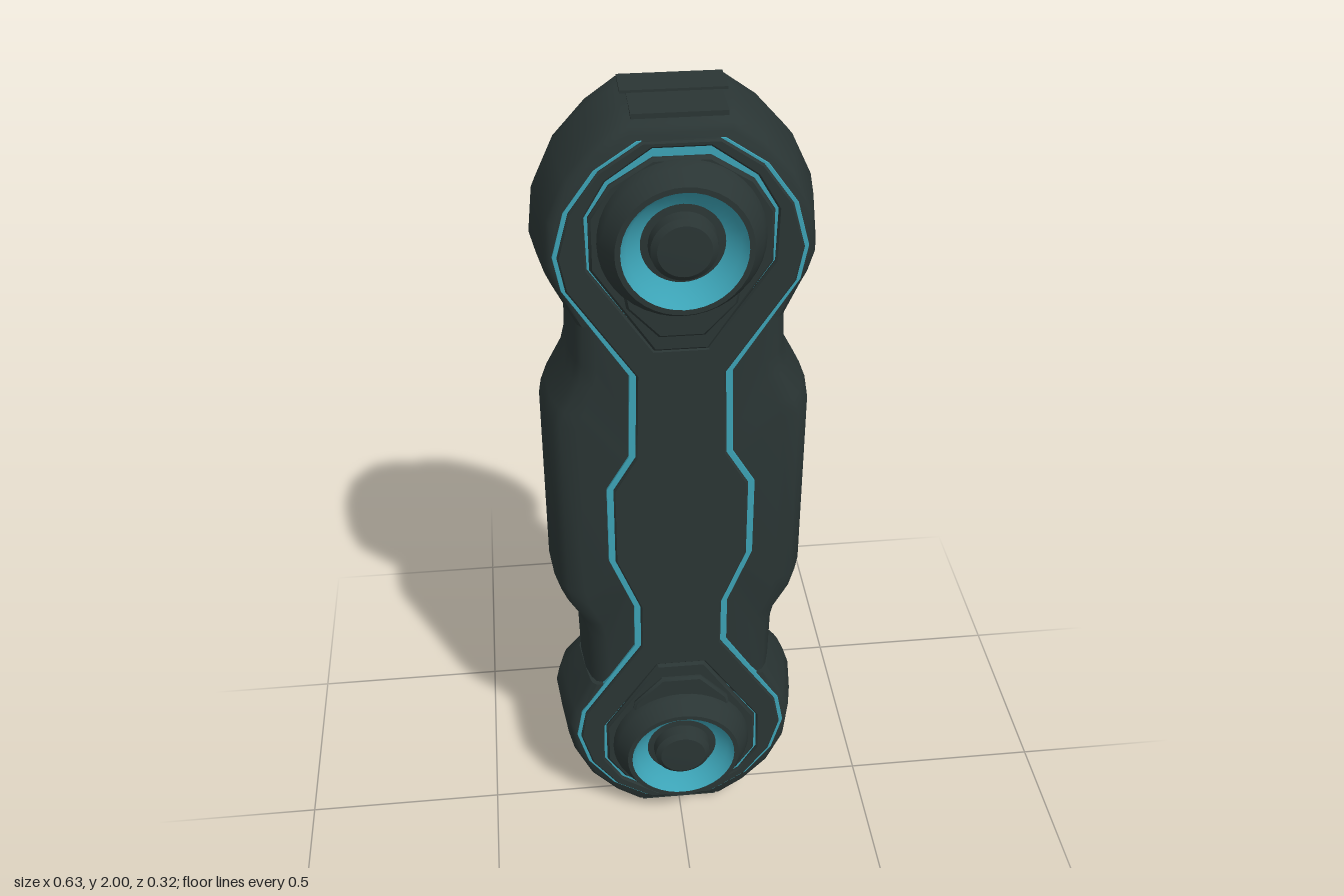
import * as THREE from 'three';
import { toCreasedNormals } from 'three/addons/utils/BufferGeometryUtils.js';

const shell = new THREE.MeshStandardMaterial({ color: 0x2a3534 });
shell.name = 'dark shell';
const glow = new THREE.MeshStandardMaterial({ color: 0x3ca3b6 });
glow.name = 'teal inlay';

const DIAL_Y = 1.735;

function add(parent, name, geometry, material, crease = 0.6) {
  const mesh = new THREE.Mesh(toCreasedNormals(geometry, crease), material);
  mesh.name = name;
  parent.add(mesh);
  return mesh;
}

// Right half of an outline, top to bottom, becomes a full counter-clockwise outline
function mirrored(half) {
  const left = half.map(([x, y]) => [-x, y]);
  return [...left, ...half.slice().reverse()];
}

const toShape = (pts) => new THREE.Shape(pts.map(([x, y]) => new THREE.Vector2(x, y)));

// Flat plate between two depths with a small bevel inside its outline
function plate(shape, z0, z1, bevel) {
  const geo = new THREE.ExtrudeGeometry(shape, {
    depth: z1 - z0 - 2 * bevel, bevelEnabled: true, bevelSegments: 1,
    bevelThickness: bevel, bevelSize: bevel, bevelOffset: -bevel,
  });
  return geo.translate(0, 0, z0 + bevel);
}

// Solid stacked from one outline at several depths; place(x, y, level) moves each point
function loft(outline, levels, cy, place) {
  const n = outline.length, pos = [], idx = [];
  levels.forEach((lv) => outline.forEach(([x, y]) => pos.push(...place(x, y, lv), lv[0])));
  for (let l = 0; l < levels.length - 1; l++) {
    for (let i = 0; i < n; i++) {
      const a = l * n + i, b = l * n + (i + 1) % n;
      idx.push(a, b, b + n, a, b + n, a + n);
    }
  }
  const last = (levels.length - 1) * n, back = levels.length * n;
  pos.push(0, cy, levels[0][0], 0, cy, levels[levels.length - 1][0]);
  for (let i = 0; i < n; i++) {
    const j = (i + 1) % n;
    idx.push(back, j, i, back + 1, last + i, last + j);
  }
  const geo = new THREE.BufferGeometry();
  geo.setAttribute('position', new THREE.Float32BufferAttribute(pos, 3));
  geo.setIndex(idx);
  return geo;
}

const lathe = (pts) => new THREE.LatheGeometry(
  pts.map(([r, z]) => new THREE.Vector2(r, z)), 40).rotateX(Math.PI / 2).translate(0, DIAL_Y, 0);

// Octagonal dial panel; its hole leaves a teal gap at the tip and sides only
const panel = mirrored([[0.06, 1.916], [0.15, 1.86], [0.195, 1.79], [0.195, 1.67], [0.06, 1.465]]);
const panelHole = mirrored([[0.06, 1.936], [0.157, 1.868], [0.203, 1.79], [0.2, 1.67], [0.06, 1.465]]);

function makeEnd(name) {
  const end = new THREE.Group();
  end.name = name;

  // Rounded end cap; its seam edge leans towards the middle at the front
  const outline = mirrored([[0.12, 1.993], [0.19, 1.945], [0.26, 1.87], [0.305, 1.775],
    [0.316, 1.67], [0.3, 1.62], [0.25, 1.565]]);
  const levels = [[-0.162, 0.95, 0.985], [-0.145, 0.97, 1], [-0.1, 1, 1], [0, 0.96, 1],
    [0.06, 0.92, 0.97], [0.075, 0.9, 0.93], [0.085, 0.86, 0.88]];
  add(end, 'endCap', loft(outline, levels, DIAL_Y, (x, y, [z, sx, sy]) => [
    x * sx,
    y > 1.6 ? DIAL_Y + (y - DIAL_Y) * sy : y - 0.15 * (z + 0.16),
  ]), shell, 0.8);

  // Clip and tongue on the tip
  add(end, 'tipClip', new THREE.BoxGeometry(0.226, 0.05, 0.092).translate(0, 1.974, -0.102), shell);
  add(end, 'tipTongue', new THREE.BoxGeometry(0.2, 0.05, 0.11).translate(0, 1.971, 0.005), shell);

  // Dial panel with a raised wedge on the inner side
  add(end, 'dialPanel', plate(toShape(panel), 0.06, 0.1, 0.006), shell);
  const wedge = mirrored([[0.13, 1.64], [0.12, 1.58], [0.05, 1.505]]);
  add(end, 'dialWedge', plate(toShape(wedge), 0.08, 0.111, 0.006), shell);

  // Dial rim, teal dish and hub
  add(end, 'dialRim', lathe([[0.178, 0.09], [0.179, 0.106], [0.17, 0.124], [0.146, 0.162],
    [0.134, 0.162]]), shell);
  add(end, 'dialDish', lathe([[0.134, 0.162], [0.12, 0.14], [0.09, 0.12]]), glow);
  add(end, 'dialHub', lathe([[0.09, 0.12], [0.074, 0.122], [0.071, 0.148], [0.058, 0.158],
    [0, 0.16]]), shell);
  return end;
}

export function createModel() {
  const model = new THREE.Group();
  model.name = 'handle';

  // Stepped grip body
  const grip = mirrored([[0.245, 1.62], [0.25, 1.42], [0.262, 1.37], [0.3, 1.3], [0.315, 1.26],
    [0.315, 0.78], [0.3, 0.73], [0.262, 0.67], [0.25, 0.62], [0.245, 0.38]]);
  const gripLevels = [[-0.158, 0.96], [-0.145, 0.98], [-0.09, 1], [0, 0.97], [0.045, 0.92],
    [0.068, 0.87], [0.082, 0.74]];
  add(model, 'gripBody', loft(grip, gripLevels, 1, (x, y, [, s]) => [x * s, y]), shell, 0.8);

  // Front spine running around both dials
  const half = [[0.08, 1.95], [0.17, 1.89], [0.235, 1.8], [0.262, 1.7], [0.247, 1.62],
    [0.1, 1.4], [0.105, 1.18], [0.158, 1.09], [0.158, 0.88], [0.1, 0.73], [0.1, 0.6],
    [0.247, 0.38], [0.262, 0.3], [0.235, 0.2], [0.17, 0.11], [0.08, 0.05]];
  const spineShape = toShape(mirrored(half));
  for (const flip of [false, true]) {
    const pts = panelHole.map(([x, y]) => new THREE.Vector2(x, flip ? 2 - y : y));
    spineShape.holes.push(new THREE.Path(pts));
  }
  add(model, 'spine', plate(spineShape, 0.06, 0.096, 0.004), shell);

  // Teal inlay along the spine's sides, wider on the grip than on the ends
  const inlay = half.map(([x, y]) => [x + (Math.abs(y - 1) < 0.5 ? 0.016 : 0.01), y]);
  add(model, 'spineInlay', plate(toShape(mirrored(inlay)), 0.06, 0.088, 0.001), glow);

  // The lower end is the upper end turned half round
  model.add(makeEnd('upperEnd'));
  const lower = makeEnd('lowerEnd');
  lower.rotation.z = Math.PI;
  lower.position.y = 2;
  model.add(lower);
  return model;
}
